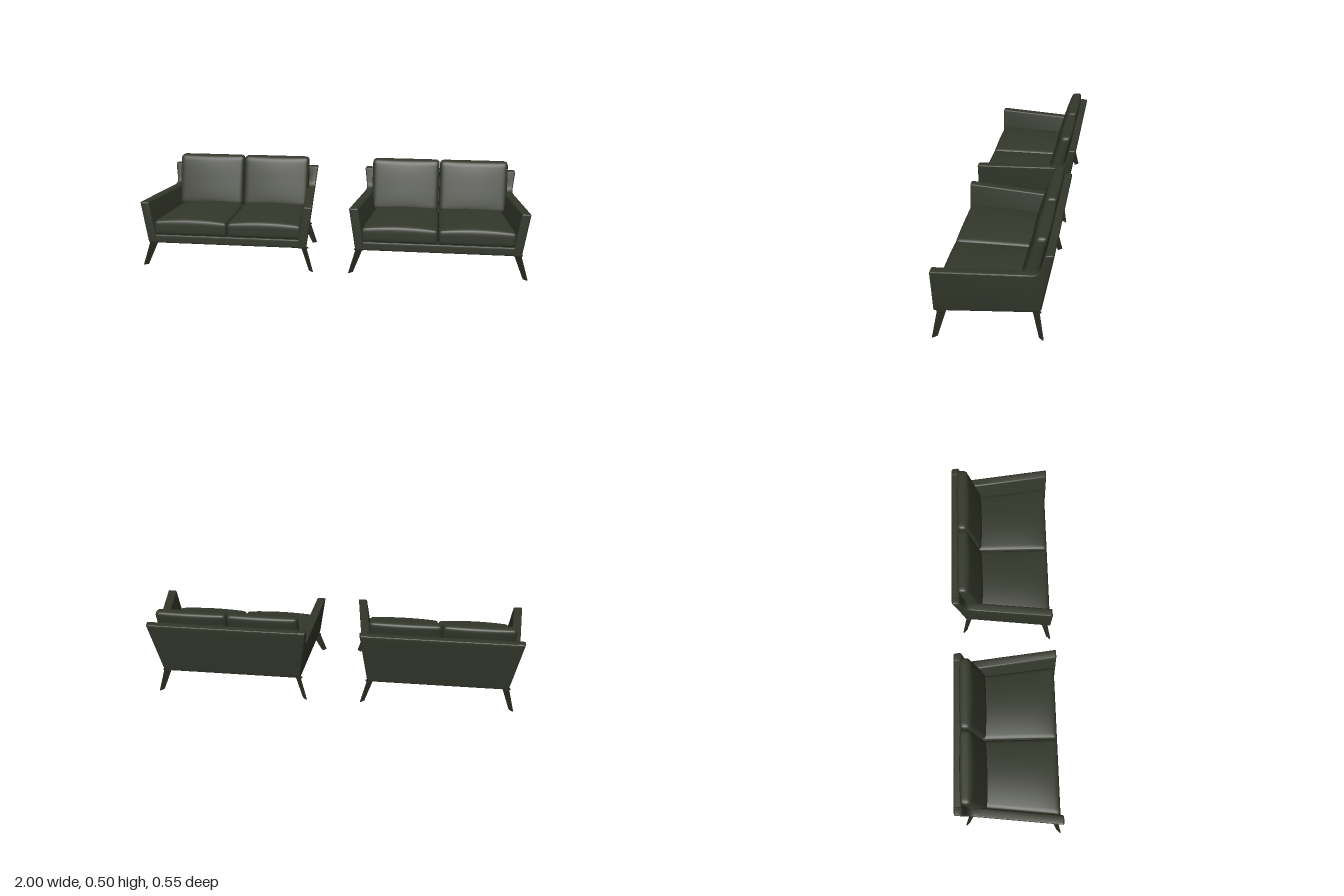
import * as THREE from 'three';
import { mergeVertices, toCreasedNormals } from 'three/addons/utils/BufferGeometryUtils.js';

const fabric = new THREE.MeshStandardMaterial({ color: 0x34382b });
const legPaint = new THREE.MeshStandardMaterial({ color: 0x2c2e24 });

// Half width of the sofa body: flares upwards and towards the front
const outer = (y, z) => 0.42 + 0.15 * (y - 0.125) + 0.11 * (z - 0.265);
const ARM = 0.046;

function named(name, geometry, material = fabric) {
  const mesh = new THREE.Mesh(geometry, material);
  mesh.name = name;
  return mesh;
}

// Move every vertex by a rule
function warp(geometry, rule) {
  const pos = geometry.attributes.position;
  const p = new THREE.Vector3();
  for (let i = 0; i < pos.count; i++) {
    rule(p.fromBufferAttribute(pos, i));
    pos.setXYZ(i, p.x, p.y, p.z);
  }
  geometry.computeVertexNormals();
  return geometry;
}

// Smooth rounded block; top and bottom may swell by crownTop and crownBottom
function softBlock(w, h, d, r, crownTop, crownBottom, rule) {
  let g = new THREE.BoxGeometry(2, 2, 2, 24, 10, 24);
  g.deleteAttribute('normal');
  g.deleteAttribute('uv');
  g = mergeVertices(g, 1e-5);
  const half = new THREE.Vector3(w / 2, h / 2, d / 2);
  const core = half.clone().subScalar(r);
  const low = core.clone().negate();
  const inner = new THREE.Vector3();
  const dense = (t) => Math.sin(t * Math.PI / 2); // more rows near the edges
  return warp(g, (p) => {
    p.set(dense(p.x), dense(p.y), dense(p.z)).multiply(half);
    inner.copy(p).clamp(low, core);
    p.sub(inner);
    if (p.lengthSq() > 0) p.setLength(r);
    p.add(inner);
    const u = p.x / half.x, v = p.z / half.z, t = p.y / half.y;
    const swell = (1 - u * u) * (1 - 0.6 * v ** 4);
    p.y += swell * (t > 0 ? t * crownTop : t * crownBottom);
    rule(p);
  });
}

// Arm and back wing in one side panel
function sidePanel(side) {
  const s = new THREE.Shape();
  s.moveTo(0.258, 0.123);
  s.quadraticCurveTo(0.266, 0.123, 0.266, 0.131);
  s.lineTo(0.266, 0.338);
  s.quadraticCurveTo(0.266, 0.346, 0.258, 0.346);
  s.lineTo(-0.15, 0.337);
  s.bezierCurveTo(-0.185, 0.336, -0.2, 0.336, -0.212, 0.372);
  s.lineTo(-0.226, 0.432);
  s.quadraticCurveTo(-0.229, 0.447, -0.24, 0.447);
  s.lineTo(-0.26, 0.447);
  s.quadraticCurveTo(-0.271, 0.446, -0.268, 0.435);
  s.lineTo(-0.208, 0.13);
  s.quadraticCurveTo(-0.206, 0.123, -0.198, 0.123);
  s.closePath();
  const b = 0.007;
  const g = new THREE.ExtrudeGeometry(s, {
    depth: ARM - 2 * b, bevelThickness: b, bevelSize: b, bevelOffset: -b, bevelSegments: 4, curveSegments: 6,
  });
  warp(g, (p) => {
    const t = p.z + b, o = outer(p.y, p.x);
    p.set(side > 0 ? o - t : -o + ARM - t, p.y, p.x);
  });
  return named(side > 0 ? 'leftArm' : 'rightArm', toCreasedNormals(g, 0.6));
}

// Thin tapered leg blade, set on the diagonal of its corner
function leg(sx, front) {
  const feet = front ? [0.434, 0.249, 0.453, 0.268] : [0.383, -0.208, 0.402, -0.227];
  const top = front ? [0.383, 0.211, 0.416, 0.247] : [0.335, -0.168, 0.368, -0.203];
  const d = new THREE.Vector3(sx, 0, front ? 1 : -1).normalize();
  const group = new THREE.Group();
  group.name = (front ? 'front' : 'back') + (sx > 0 ? 'LeftLeg' : 'RightLeg');
  const blade = warp(new THREE.BoxGeometry(1, 1, 1), (p) => {
    const end = p.y > 0 ? top : feet;
    const k = p.x > 0 ? 2 : 0;
    const t = p.z * 0.006;
    p.set(sx * end[k] - d.z * t, p.y > 0 ? 0.126 : 0, end[k + 1] + d.x * t);
  });
  group.add(named('legBlade', blade, legPaint));
  // Mounting plate under the frame
  const plate = named('legPlate', new THREE.BoxGeometry(0.05, 0.006, 0.028), legPaint);
  plate.position.set(sx * (top[0] + top[2]) / 2, 0.12, (top[1] + top[3]) / 2);
  plate.rotation.y = Math.atan2(-d.z, d.x);
  group.add(plate);
  return group;
}

function sofa(name) {
  const group = new THREE.Group();
  group.name = name;

  // Seat frame
  group.add(named('seatFrame', softBlock(2, 0.046, 0.46, 0.008, 0, 0, (p) => {
    p.y += 0.146;
    p.z += 0.032;
    p.x *= outer(p.y, p.z) - 0.008;
  })));

  // Leaning back panel
  group.add(named('backPanel', softBlock(0.8, 0.322, 0.041, 0.01, 0, 0, (p) => {
    p.y += 0.285;
    p.z -= 0.19 + 0.19 * (p.y - 0.125);
    p.x *= (outer(p.y, p.z) - 0.002) / 0.4;
  })));

  for (const side of [1, -1]) {
    const label = side > 0 ? 'left' : 'right';
    group.add(sidePanel(side));

    // Seat cushion, narrowing to the rear
    group.add(named(label + 'SeatCushion', softBlock(0.39, 0.077, 0.44, 0.018, 0.021, 0, (p) => {
      p.x += side * 0.1955;
      p.y += 0.203;
      p.z += 0.037;
      p.x *= 1 + 0.28 * (p.z - 0.255);
    })));

    // Back cushion, stood up and leaning, thinner towards its top
    group.add(named(label + 'BackCushion', softBlock(0.366, 0.062, 0.272, 0.022, 0.011, 0.008, (p) => {
      const y = 0.369 - p.z;
      const thin = 1.1 - 0.9 * (y - 0.25);
      p.set(p.x + side * 0.184, y, p.y * thin - 0.148 - 0.25 * (y - 0.25));
    })));

    group.add(leg(side, true), leg(side, false));
  }
  return group;
}

export function createModel() {
  const model = new THREE.Group();
  model.name = 'sofaPair';
  for (const side of [1, -1]) {
    const s = sofa(side > 0 ? 'leftSofa' : 'rightSofa');
    s.position.set(side * 0.546, 0, -side * 0.004);
    model.add(s);
  }
  return model;
}
